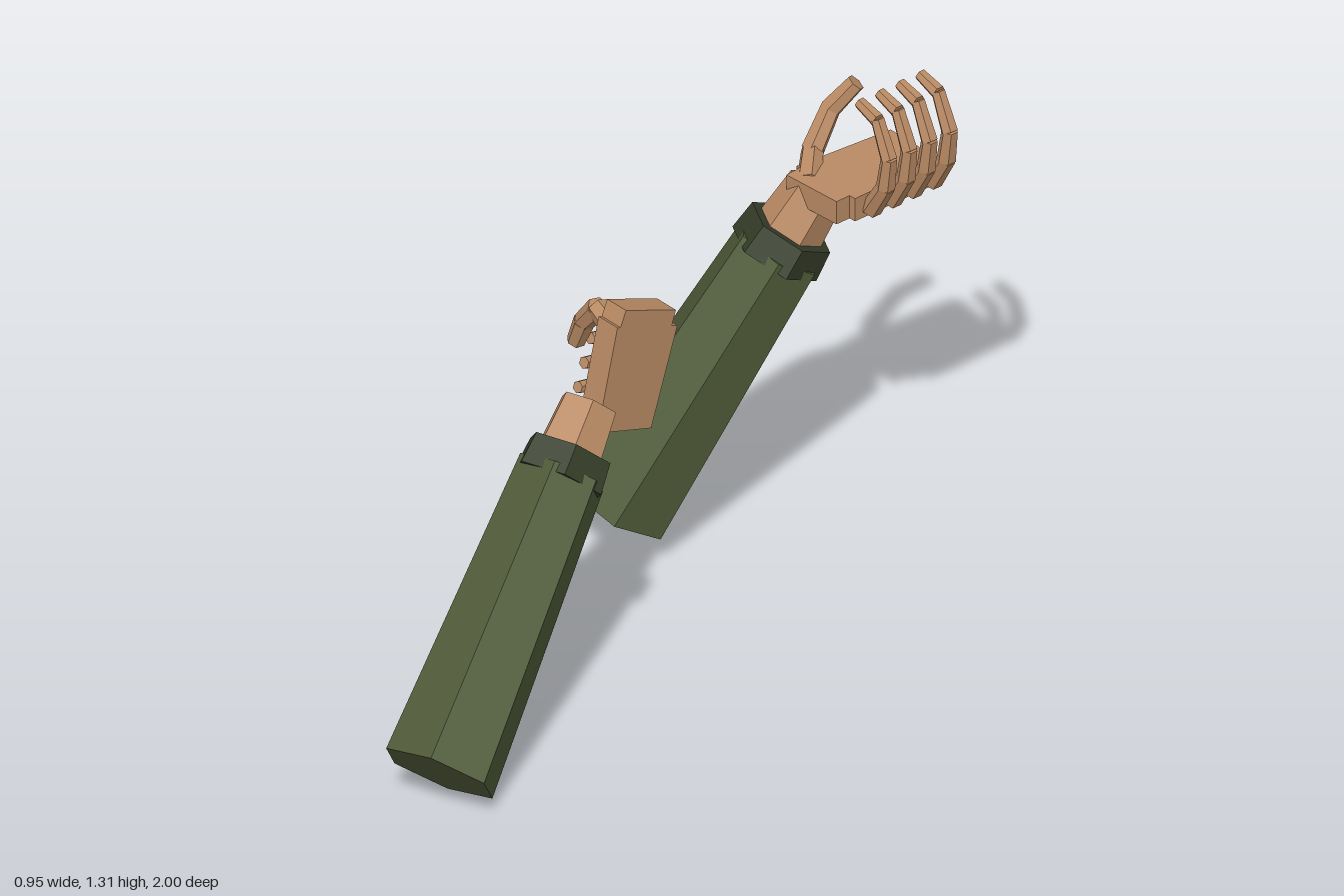
import * as THREE from 'three';

const V = (x, y, z) => new THREE.Vector3(x, y, z);
const material = (color) => new THREE.MeshStandardMaterial({ color, flatShading: true });
const skin = material(0xb98a64);
const sleeveCloth = material(0x4f5a38);
const cuffCloth = material(0x343c28);

// Six-sided tapered prism from a to b; hint fixes its roll, turn adds to it.
function hexPrism(name, a, b, r0, r1, hint, mat, turn = Math.PI / 6) {
  const d = b.clone().sub(a);
  const length = d.length();
  d.normalize();
  const u = hint.clone().addScaledVector(d, -hint.dot(d)).normalize();
  const w = u.clone().cross(d);
  const geo = new THREE.CylinderGeometry(r1, r0, length, 6, 1, false, turn);
  geo.applyMatrix4(new THREE.Matrix4().makeBasis(u, d, w));
  const mid = a.clone().lerp(b, 0.5);
  geo.translate(mid.x, mid.y, mid.z);
  const mesh = new THREE.Mesh(geo, mat);
  mesh.name = name;
  return mesh;
}

// Chain of prisms along joints, each a little thinner than the last.
function digit(name, joints, hint, r = 0.028) {
  const group = new THREE.Group();
  group.name = name;
  for (let i = 0; i < joints.length - 1; i++) {
    const a = joints[i], b = joints[i + 1];
    const r0 = r - i * 0.0025;
    const end = b.clone().lerp(a, -0.05);
    group.add(hexPrism(name + 'Segment', a, end, r0, r0 - 0.004, hint, skin));
  }
  return group;
}

// Flat slab cut from an outline in the hand's own plane.
function slab(name, outline, thickness, frame) {
  const shape = new THREE.Shape(outline.map(([x, y]) => new THREE.Vector2(x, y)));
  const geo = new THREE.ExtrudeGeometry(shape, { depth: thickness, bevelEnabled: false });
  geo.translate(0, 0, -thickness);
  geo.applyMatrix4(frame);
  const mesh = new THREE.Mesh(geo, skin);
  mesh.name = name;
  return mesh;
}

// Hand frame: x along the fingers, y towards the thumb, -z out of the palm.
function buildHand({ origin, along, across, thickness, curl, thumb }) {
  const hand = new THREE.Group();
  hand.name = 'hand';
  const back = along.clone().cross(across);
  const frame = new THREE.Matrix4().makeBasis(along, across, back).setPosition(origin);

  hand.add(slab('palm', [[-0.19, 0], [0, 0], [0, 0.285], [-0.215, 0.295]], thickness, frame));
  hand.add(slab('palmEdge', [[-0.205, 0.28], [-0.02, 0.27], [-0.02, 0.33], [-0.2, 0.342]], thickness, frame));

  for (let i = 0; i < 4; i++) {
    const s = 0.03 + i * 0.068;
    const joints = curl.map(([f, n]) => V(f, s, -n).applyMatrix4(frame));
    hand.add(digit('finger', joints, across));
  }
  hand.add(digit('thumb', thumb.map((p) => V(...p)), along, 0.034));
  return hand;
}

// Sleeve, cuff and wrist share one axis from the elbow end to the cuff end.
function buildArm(name, base, cuffEnd, handOptions) {
  const arm = new THREE.Group();
  arm.name = name;
  const d = cuffEnd.clone().sub(base).normalize();
  const side = d.clone().cross(V(0, 1, 0));
  const at = (t) => cuffEnd.clone().addScaledVector(d, t);
  arm.add(
    hexPrism('sleeve', base, at(-0.06), 0.156, 0.121, side, sleeveCloth, THREE.MathUtils.degToRad(13)),
    hexPrism('cuff', at(-0.085), cuffEnd, 0.127, 0.118, side, cuffCloth),
    hexPrism('wrist', at(-0.02), at(0.13), 0.092, 0.079, side, skin),
    buildHand(handOptions)
  );
  return arm;
}

export function createModel() {
  const model = new THREE.Group();
  model.name = 'pairOfArms';

  // Gripping hand: palm upright, fingers curled into a fist.
  const tilt = THREE.MathUtils.degToRad(18);
  model.add(buildArm('grippingArm', V(0.325, 0.115, 0.903), V(0.11, 0.722, 0.276), {
    origin: V(0.1, 0.67, -0.005),
    along: V(0, -Math.sin(tilt), -Math.cos(tilt)),
    across: V(0, Math.cos(tilt), -Math.sin(tilt)),
    thickness: 0.073,
    curl: [[-0.01, 0.035], [0.04, 0.095], [0.03, 0.17], [-0.025, 0.21], [-0.08, 0.205]],
    thumb: [[0.045, 0.97, 0.07], [-0.03, 0.995, 0.06], [-0.085, 0.93, 0.06], [-0.115, 0.86, 0.06]],
  }));

  // Supporting hand: palm up, fingers and thumb forming an open cup.
  model.add(buildArm('supportingArm', V(-0.33, 0.14, -0.257), V(-0.12, 0.895, -0.667), {
    origin: V(0.075, 0.987, -0.997),
    along: V(1, 0, 0),
    across: V(0, 0, 1),
    thickness: 0.068,
    curl: [[0.005, 0.02], [0.06, 0.11], [0.073, 0.2], [0.03, 0.295], [-0.037, 0.315]],
    thumb: [[-0.09, 1.03, -0.7], [-0.163, 1.06, -0.775], [-0.178, 1.15, -0.85], [-0.142, 1.22, -0.9]],
  }));
  return model;
}
